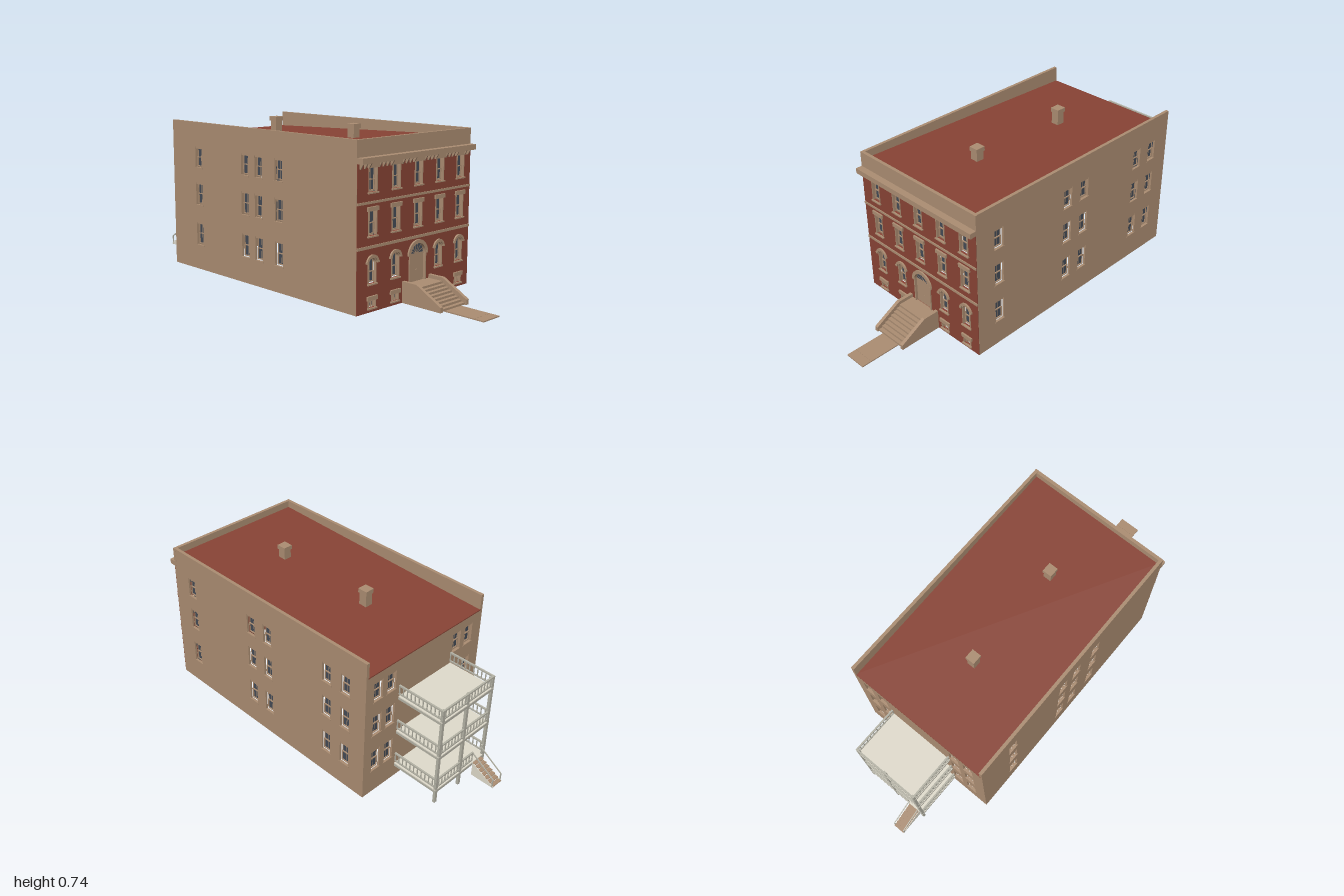
import * as THREE from 'three';

const mat = (name, color) => {
  const m = new THREE.MeshStandardMaterial({ color, side: THREE.DoubleSide });
  m.name = name;
  return m;
};

export function createModel() {
  const root = new THREE.Group();
  root.name = 'townBuilding';
  const stone = mat('sandstone', 0xab8d72);
  const brick = mat('redBrick', 0x884335);
  const glass = mat('glass', 0x434a55);
  const deck = mat('paleDeck', 0xdfdacb);
  const rail = mat('greyRail', 0xb4b2a5);

  const add = (parent, name, geo, m) => {
    const mesh = new THREE.Mesh(geo, m);
    mesh.name = name;
    parent.add(mesh);
    return mesh;
  };
  // box given by its low and high corners
  const box = (p, name, m, x0, x1, y0, y1, z0, z1) => {
    const b = add(p, name, new THREE.BoxGeometry(x1 - x0, y1 - y0, z1 - z0), m);
    b.position.set((x0 + x1) / 2, (y0 + y1) / 2, (z0 + z1) / 2);
    return b;
  };
  const extrude = (p, name, m, shape, z0, z1) => {
    const geo = new THREE.ExtrudeGeometry(shape, { depth: z1 - z0, bevelEnabled: false, curveSegments: 12 });
    geo.translate(0, 0, z0);
    return add(p, name, geo, m);
  };
  const poly = pts => new THREE.Shape(pts.map(q => new THREE.Vector2(...q)));
  // rectangular outline, or one with a half-round head above y1
  const opening = (u, w, y0, y1, arch) => {
    const s = new THREE.Shape();
    s.moveTo(u - w / 2, y0).lineTo(u + w / 2, y0).lineTo(u + w / 2, y1);
    if (arch) s.absarc(u, y1, w / 2, 0, Math.PI, false);
    else s.lineTo(u - w / 2, y1);
    s.closePath();
    return s;
  };
  const arcBand = (u, y, r0, r1) => {
    const s = new THREE.Shape();
    s.absarc(u, y, r1, 0, Math.PI, false);
    s.absarc(u, y, r0, Math.PI, 0, true);
    s.closePath();
    return s;
  };

  // sash window set behind its opening, with sill and lintel
  const addWindow = (p, d, { u, w, y0, y1, arch, kind }) => {
    const g = new THREE.Group();
    g.name = 'window';
    p.add(g);
    const side = kind === 'side', pw = w - 0.006, zf = d - 0.016, b = y0 + 0.004;
    const ym = (y0 + y1) / 2 + (arch ? 0.005 : 0);
    add(g, 'pane', new THREE.ShapeGeometry(opening(u, pw, b, y1, arch)), glass).position.z = zf;
    // framed sash of thickness t
    const sash = (a, c, t, z, round) => {
      const s = opening(u, pw, a, c, round);
      s.holes.push(opening(u, pw - 2 * t, a + t, round ? c : c - t, round));
      extrude(g, 'sash', stone, s, z - 0.002, z + 0.003);
    };
    if (kind === 'basement') {
      sash(b, y1, 0.003, zf);
      for (const k of [-1, 0, 1]) box(g, 'basementBar', stone, u + k * 0.01 - 0.0015, u + k * 0.01 + 0.0015, y0, y1, d - 0.009, d - 0.005);
    } else {
      sash(ym - 0.002, y1, 0.003, zf, arch);
      sash(b, ym + 0.002, 0.004, zf + 0.003);
      for (const [a, c] of [[b, ym], [ym, y1]])
        add(g, 'muntin', new THREE.PlaneGeometry(0.003, c - a), stone).position.set(u, (a + c) / 2, zf + 0.001);
    }
    box(g, 'sill', stone, u - w / 2 - 0.005, u + w / 2 + 0.005, y0 - 0.006, y0, d - 0.002, d + (side ? 0.002 : 0.008));
    if (side) {
      box(g, 'head', stone, u - w / 2, u + w / 2, y1 - 0.008, y1, d - 0.009, d - 0.003);
      return;
    }
    for (const s of [-1, 1]) {
      const e = u + s * (w / 2 - 0.001);
      box(g, 'casing', stone, e - 0.002, e + 0.002, y0, y1, d - 0.012, d + 0.003);
    }
    if (arch) {
      extrude(g, 'archCasing', stone, arcBand(u, y1, w / 2 - 0.003, w / 2 + 0.002), d - 0.012, d + 0.003);
      extrude(g, 'archHood', stone, arcBand(u, y1, w / 2 + 0.001, w / 2 + 0.012), d - 0.002, d + 0.008);
      for (const s of [-1, 1]) {
        const e = u + s * (w / 2 + 0.007);
        box(g, 'archFoot', stone, e - 0.006, e + 0.006, y1, y1 + 0.008, d, d + 0.009);
      }
    } else {
      box(g, 'lintel', stone, u - w / 2 - 0.008, u + w / 2 + 0.008, y1, y1 + 0.018, d - 0.002, d + 0.008);
    }
  };

  // pierced wall facing local +z, turned to its side of the building
  const wall = (name, m, turn, u0, u1, top, d, wins, holes = []) => {
    const g = new THREE.Group();
    g.name = name;
    g.rotation.y = turn;
    root.add(g);
    const s = poly([[u0, 0.004], [u1, 0.004], [u1, top], [u0, top]]);
    s.holes.push(...holes, ...wins.map(v => opening(v.u, v.w, v.y0, v.y1, v.arch)));
    extrude(g, name + 'Panel', m, s, d - 0.01, d);
    wins.forEach(v => addWindow(g, d, v));
    return g;
  };
  const rows = [[0.125, 0.235], [0.322, 0.428], [0.503, 0.6]];
  const sideWins = cols => cols.flatMap(u => rows.map(([y0, y1]) => ({ u, w: 0.05, y0, y1, kind: 'side' })));

  wall('longWallFront', stone, 0, -0.645, 0.605, 0.718, 0.363, sideWins([-0.441, -0.094, 0, 0.136]));
  wall('longWallBack', stone, Math.PI, -0.605, 0.645, 0.718, 0.363, sideWins([-0.48, -0.058, 0.05, 0.421, 0.53]));
  wall('rearWall', stone, -Math.PI / 2, -0.355, 0.355, 0.64, 0.645, sideWins([-0.29, -0.21, 0.2, 0.278]));

  // brick facade: five bays, with an arched doorway in the middle
  const c = 0.009, D = 0.607, wins = [];
  for (let k = -2; k <= 2; k++) {
    const u = c + k * 0.141;
    wins.push({ u, w: 0.05, y0: 0.503, y1: 0.602 }, { u, w: 0.05, y0: 0.324, y1: 0.426 });
    if (k) wins.push({ u, w: 0.048, y0: 0.125, y1: 0.21, arch: true },
      { u, w: 0.045, y0: 0.023, y1: 0.055, kind: 'basement' });
  }
  const fac = wall('facade', brick, Math.PI / 2, -0.3625, 0.3625, 0.63, D, wins, [opening(c, 0.1, 0.08, 0.2025, true)]);
  box(fac, 'upperBand', stone, -0.3625, 0.3625, 0.456, 0.466, D - 0.0015, D + 0.004);
  box(fac, 'lowerBand', stone, -0.3625, 0.3625, 0.272, 0.284, D - 0.0015, D + 0.004);

  // entrance
  box(fac, 'door', stone, c - 0.05, c + 0.05, 0.08, 0.204, D - 0.012, D - 0.006);
  for (const s of [-1, 1]) {
    const e = c + s * 0.051;
    box(fac, 'doorJamb', stone, e - 0.003, e + 0.003, 0.08, 0.2025, D - 0.008, D + 0.006);
    box(fac, 'doorKnob', stone, c + s * 0.005 - 0.001, c + s * 0.005 + 0.001, 0.131, 0.134, D - 0.006, D - 0.003);
    box(fac, 'doorArchFoot', stone, c + s * 0.056 - 0.006, c + s * 0.056 + 0.006, 0.2, 0.21, D, D + 0.009);
  }
  add(fac, 'fanlight', new THREE.CircleGeometry(0.05, 24, 0, Math.PI), glass).position.set(c, 0.2025, D - 0.008);
  add(fac, 'fanHub', new THREE.CircleGeometry(0.008, 12, 0, Math.PI), stone).position.set(c, 0.2025, D - 0.002);
  extrude(fac, 'doorArch', stone, arcBand(c, 0.2025, 0.047, 0.063), D - 0.008, D + 0.008);
  for (let i = 1; i < 7; i++) {
    const a = i * Math.PI / 7;
    const spoke = add(fac, 'fanSpoke', new THREE.PlaneGeometry(0.048, 0.003), stone);
    spoke.position.set(c + Math.cos(a) * 0.025, 0.2025 + Math.sin(a) * 0.025, D - 0.005);
    spoke.rotation.z = a;
  }

  // facade parapet, cornice and brackets
  box(root, 'facadeParapet', stone, 0.59, 0.6055, 0.622, 0.718, -0.3635, 0.3635);
  box(root, 'cornice', stone, 0.6, 0.637, 0.623, 0.647, -0.3635, 0.3635);
  for (const mid of [-0.35, -0.2205, -0.0795, 0.0615, 0.2025, 0.335])
    for (const k of [-1.5, -0.5, 0.5, 1.5]) {
      const z = mid + k * 0.024;
      if (Math.abs(z) < 0.36)
        extrude(root, 'corniceBracket', stone, poly([[0.604, 0.6], [0.612, 0.6], [0.627, 0.623], [0.604, 0.623]]), z - 0.003, z + 0.003);
    }

  // roof falling gently to the rear, parapet copings and chimneys
  extrude(root, 'roof', brick, poly([[-0.645, 0.637], [0.596, 0.677], [0.596, 0.685], [-0.645, 0.645]]), -0.353, 0.353);
  for (const s of [-1, 1]) {
    const z = s * 0.3555;
    box(root, 'parapetCoping', stone, -0.645, 0.6, 0.645, 0.7185, z - 0.0075, z + 0.0075);
  }
  for (const x of [-0.281, 0.242]) {
    box(root, 'chimney', stone, x - 0.02, x + 0.02, 0.64, 0.727, -0.009, 0.029);
    box(root, 'chimneyCap', stone, x - 0.024, x + 0.024, 0.716, 0.736, -0.013, 0.033);
  }

  // front stoop and path
  const cheek = poly([[0.6, 0.004], [0.815, 0.004], [0.815, 0.027], [0.685, 0.098], [0.6, 0.098]]);
  extrude(root, 'stoopCheekLeft', stone, cheek, 0.069, 0.085);
  extrude(root, 'stoopCheekRight', stone, cheek, -0.103, -0.087);
  for (let i = 0; i < 8; i++)
    box(root, 'stoopStep', stone, 0.604, 0.685 + i * 0.0175, 0.082 - (i + 1) * 0.0097, 0.082 - i * 0.0097, -0.088, 0.07);
  box(root, 'path', stone, 0.8, 0.954, 0, 0.005, -0.062, 0.044);
  box(root, 'pathEnd', stone, 0.955, 1, 0, 0.005, -0.062, 0.044);

  // rear porches on three levels
  const X0 = -0.88, X1 = -0.645, Z0 = -0.165, Z1 = 0.17;
  const railing = (y, alongX, fixed, a0, a1) => {
    const put = (name, a, b, h0, h1, t) => alongX
      ? box(root, name, rail, a, b, h0, h1, fixed - t, fixed + t)
      : box(root, name, rail, fixed - t, fixed + t, h0, h1, a, b);
    put('topRail', a0, a1, y + 0.051, y + 0.058, 0.004);
    put('bottomRail', a0, a1, y + 0.009, y + 0.015, 0.003);
    const n = Math.round((a1 - a0) / 0.021);
    for (let i = 0; i <= n; i++) {
      const a = a0 + 0.002 + (a1 - a0 - 0.004) * i / n;
      put('baluster', a - 0.002, a + 0.002, y + 0.012, y + 0.054, 0.002);
    }
  };
  [0.078, 0.265, 0.452].forEach((y, i) => {
    box(root, 'porchDeck', deck, X0, X1, y - 0.005, y, Z0, Z1);
    for (const z of [Z0 + 0.005, 0, Z1 - 0.005]) box(root, 'porchBeam', rail, X0, X1, y - 0.017, y - 0.005, z - 0.005, z + 0.005);
    box(root, 'porchEdge', rail, X0, X0 + 0.01, y - 0.017, y - 0.004, Z0, Z1);
    railing(y, true, Z0 + 0.004, X0, X1);
    railing(y, true, Z1 - 0.004, X0, X1);
    if (i) railing(y, false, X0 + 0.004, Z0, Z1);
    else {
      railing(y, false, X0 + 0.004, Z0, 0.085);
      railing(y, false, X0 + 0.004, 0.147, Z1);
    }
  });
  for (const z of [Z0 + 0.008, 0, Z1 - 0.008]) box(root, 'porchPost', rail, X0, X0 + 0.012, 0.004, 0.51, z - 0.007, z + 0.007);

  // rear steps with handrails
  for (let i = 0; i < 7; i++) {
    const x = -1 + i * 0.0172, y = 0.004 + (i + 1) * 0.01;
    box(root, 'rearStep', stone, x, x + 0.0185, y - 0.004, y, 0.088, 0.144);
  }
  for (const z of [0.086, 0.143]) {
    extrude(root, 'rearStringer', deck, poly([[-1, 0.004], [-0.88, 0.004], [-0.88, 0.073], [-1, 0.01]]), z, z + 0.003);
    extrude(root, 'rearHandrail', rail, poly([[-0.995, 0.05], [-0.995, 0.044], [-0.876, 0.122], [-0.876, 0.128]]), z, z + 0.004);
    box(root, 'rearNewel', rail, -0.995, -0.99, 0.004, 0.05, z, z + 0.004);
  }
  return root;
}
